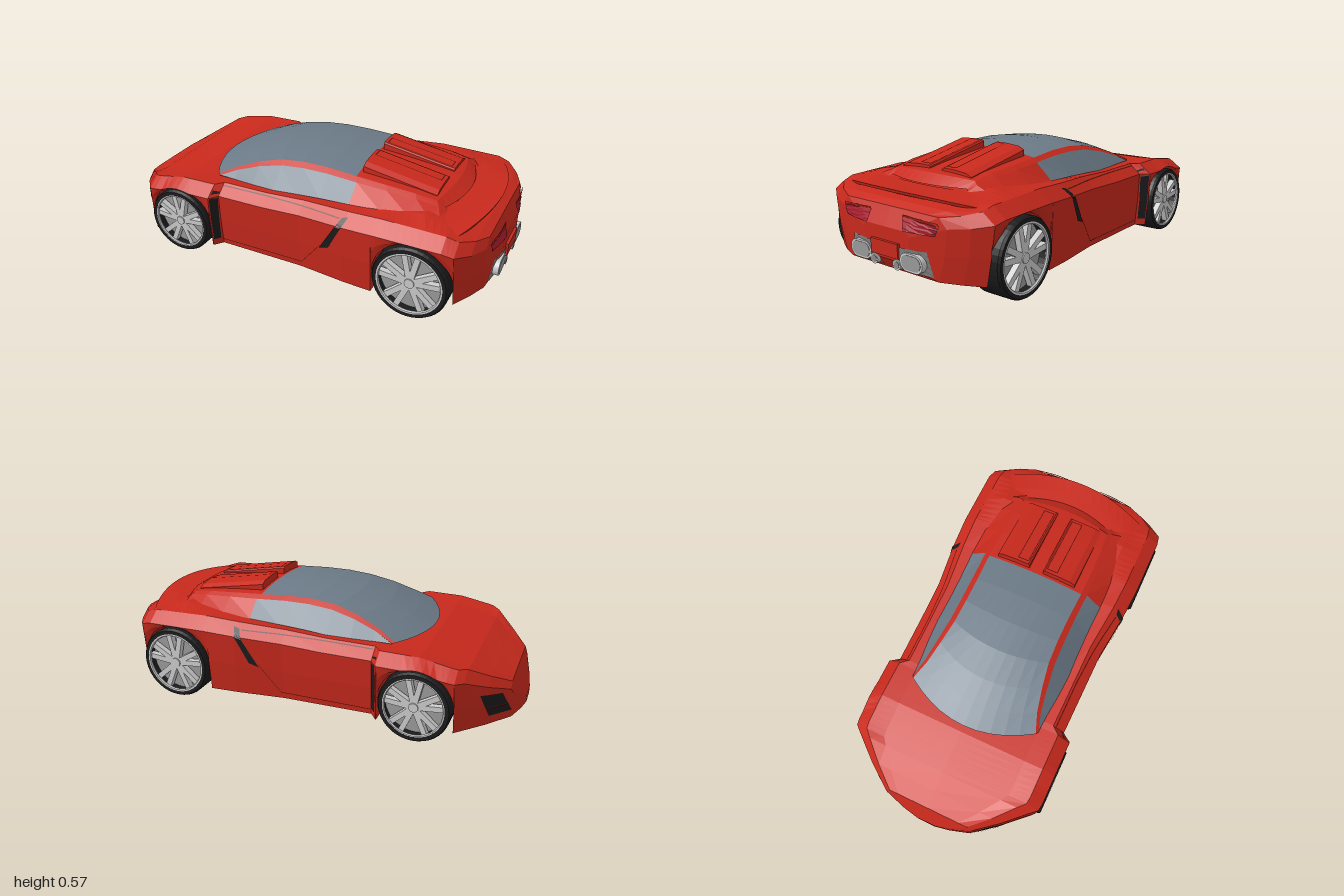
import * as THREE from 'three';

const RED = 0xc8291c, GLASS = 0x6b7a87, BLACK = 0x1b1b1d, SEAM = 0x5a120c, CHROME = 0xbcbcbc;
const V = (x, y, z) => new THREE.Vector3(x, y, z);
const mat = color => new THREE.MeshStandardMaterial({ color, flatShading: true, side: THREE.DoubleSide });
const { lerp, smoothstep } = THREE.MathUtils;

function add(parent, name, geo, color) {
  const m = new THREE.Mesh(geo, mat(color));
  m.name = name;
  parent.add(m);
}

// Skin through rows of points
function loft(rows) {
  const pos = [];
  const tri = (a, b, c) => {
    if (b.clone().sub(a).cross(c.clone().sub(a)).length() > 1e-9) [a, b, c].forEach(p => pos.push(p.x, p.y, p.z));
  };
  for (let i = 0; i < rows.length - 1; i++) for (let j = 0; j < rows[i].length - 1; j++) {
    const a = rows[i][j], b = rows[i + 1][j], c = rows[i][j + 1], d = rows[i + 1][j + 1];
    tri(a, b, c);
    tri(b, d, c);
  }
  const g = new THREE.BufferGeometry();
  g.setAttribute('position', new THREE.Float32BufferAttribute(pos, 3));
  g.computeVertexNormals();
  return g;
}
// Close both ends of a ring loft
function capped(rows) {
  const cap = r => {
    const c = r.reduce((s, p) => s.add(p), V(0, 0, 0)).divideScalar(r.length);
    return r.map(() => c);
  };
  return loft([cap(rows[0]), ...rows, cap(rows[rows.length - 1])]);
}
const flip = pts => pts.map(p => V(p.x, p.y, -p.z)).reverse();

// Body outlines along x: half width, fender height, centre height, floor height
const TAIL = .987;
const WIDTH = [[-1, .05], [-.985, .13], [-.955, .23], [-.86, .355], [-.735, .495], [-.7, .5], [-.378, .5], [-.345, .455], [.1, .462],
  [.34, .49], [.5, .5], [.8, .5], [.855, .49], [.91, .415], [.95, .32], [TAIL, .14]];
const FENDER = [[-1, .11], [-.945, .24], [-.77, .35], [-.56, .388], [-.1, .395], [.5, .432], [.8, .425], [.95, .38], [TAIL, .3]];
const CENTRE = [[-1, .11], [-.945, .245], [-.77, .335], [-.56, .38], [.1, .395], [.67, .455], [.93, .395], [.965, .37], [TAIL, .3]];
const FLOOR = [[-1, .065], [.5, .065], [.88, .1], [.955, .105], [TAIL, .16]];
const WHEELS = [{ name: 'frontWheel', x: -.56, r: .169 }, { name: 'rearWheel', x: .67, r: .18 }];
const GAP = .008;

function at(line, x) {
  const i = Math.max(1, line.findIndex(p => p[0] >= x));
  const [a, b] = [line[i - 1], line[i]];
  return lerp(a[1], b[1], (x - a[0]) / (b[0] - a[0]));
}
// Half cross-section, from floor centre round the wheel well to deck centre
function section(x) {
  const w = at(WIDTH, x), yf = at(FENDER, x), yc = at(CENTRE, x), yb = at(FLOOR, x);
  const sill = w * lerp(.96, .84, smoothstep(x, .8, .97)), well = Math.min(.31, sill * .8);
  let ya = yb;
  for (const h of WHEELS) {
    const d = Math.abs(x - h.x), R = h.r + GAP;
    if (d <= R + 1e-6) ya = h.r + Math.sqrt(Math.max(0, R * R - d * d));
  }
  const shoulder = Math.max(ya + .004, lerp(yb, yf, .85));
  return [V(x, yb, 0), V(x, yb, well), V(x, ya, well), V(x, ya, sill), V(x, lerp(ya, shoulder, .5), lerp(sill, w, .7)),
    V(x, shoulder, w), V(x, yf, w * .87), V(x, lerp(yf, yc, .85), w * .68), V(x, yc, 0)];
}
// Half width of the body at x, y
function sideZ(x, y) {
  const s = section(x);
  for (let i = 3; i < 8; i++) {
    if (y >= s[i].y && y <= s[i + 1].y) return lerp(s[i].z, s[i + 1].z, (y - s[i].y) / (s[i + 1].y - s[i].y || 1));
  }
  return y < s[3].y ? s[3].z : -1;
}
// Rearmost body x at y, z
function tailX(y, z) {
  for (let x = TAIL; x > .8; x -= .003) if (y >= section(x)[0].y && sideZ(x, y) >= z) return x;
  return .9;
}
// Four-cornered patch laid on a surface
function patch(c, place, n = 8) {
  const steps = Array.from({ length: n + 1 }, (_, i) => i / n);
  return loft(steps.map(u => steps.map(v =>
    place(...[0, 1].map(k => lerp(lerp(c[0][k], c[1][k], u), lerp(c[3][k], c[2][k], u), v))))));
}

function addWheel(car, { name, x, r }, side) {
  const g = new THREE.Group();
  g.name = name;
  const prof = [[.85, -.08], [.96, -.08], [1, -.068], [1, .068], [.96, .08], [.85, .08], [.85, -.08]];
  add(g, 'tire', new THREE.LatheGeometry(prof.map(p => new THREE.Vector2(p[0] * r, p[1])), 40).rotateX(Math.PI / 2), BLACK);
  add(g, 'rimDish', new THREE.CylinderGeometry(r * .86, r * .86, .1, 40).rotateX(Math.PI / 2).translate(0, 0, -.02), 0x9a9a9a);
  add(g, 'rimLip', new THREE.TorusGeometry(r * .84, r * .045, 6, 40).translate(0, 0, .073), CHROME);
  add(g, 'hub', new THREE.CylinderGeometry(r * .13, r * .17, .05, 16).rotateX(Math.PI / 2).translate(0, 0, .05), CHROME);
  for (let i = 0; i < 10; i++) {
    const a = Math.floor(i / 2) * Math.PI * .4 + (i % 2 ? .22 : -.22) + Math.PI / 2;
    add(g, 'spoke', new THREE.BoxGeometry(r * .76, r * .15, .03).translate(r * .46, 0, .055).rotateZ(a), CHROME);
  }
  g.position.set(x, r, side * .425);
  if (side < 0) g.rotation.y = Math.PI;
  car.add(g);
}

// Roof stations: centre x, y, then roof edge x, y, z
const CABIN = [[-.53, .39, -.42, .395, .335], [-.42, .44, -.33, .438, .3], [-.3, .487, -.22, .48, .275],
  [-.15, .528, -.1, .51, .255], [0, .543, .02, .522, .25], [.15, .545, .15, .522, .25], [.3, .532, .3, .512, .255]];
const COVER = [CABIN[6], [.45, .518, .45, .502, .255], [.6, .502, .59, .49, .25], [.72, .484, .69, .474, .24], [.78, .447, .73, .445, .23]];

const roofRow = ([xc, yc, xe, ye, ze]) => Array.from({ length: 11 }, (_, i) => {
  const t = 1 - i / 5;
  return V(lerp(xc, xe, t * t), lerp(yc, ye, t * t), ze * t);
});
const railPoint = ([, , x, y, z]) => V(x + .014, lerp(y, .38, .13), z + .006 + (y - .385) * .17);
const railRow = c => [railPoint(c), V(c[2], c[3], c[4])];
const flankRow = c => [V(c[2] + .012, at(FENDER, c[2]), Math.min(.342 + .022 * smoothstep(c[2], -.42, -.1), c[4] + .11)), railPoint(c)];

export function createModel() {
  const car = new THREE.Group();
  car.name = 'sportsCar';

  // Body shell with wheel wells
  const xs = [...WIDTH, ...FENDER].map(p => p[0]);
  for (const h of WHEELS) {
    const R = h.r + GAP;
    for (let i = 0; i <= 16; i++) xs.push(h.x - R * Math.cos(i * Math.PI / 16));
    xs.push(h.x - R - .001, h.x + R + .001);
  }
  xs.sort((a, b) => a - b);
  add(car, 'body', capped(xs.map(x => [...section(x), ...flip(section(x))])), RED);

  // Cabin glass and engine cover
  add(car, 'windscreenAndRoof', loft(CABIN.map(roofRow)), GLASS);
  add(car, 'engineCover', loft(COVER.map(roofRow)), RED);

  for (const side of [1, -1]) {
    const mirror = pts => (side > 0 ? pts : flip(pts));
    const strip = (name, rows, f, color) => add(car, name, loft(rows.map(c => mirror(f(c)))), color);
    strip('roofRail', CABIN, railRow, RED);
    strip('sideWindow', CABIN, flankRow, GLASS);
    strip('coverShoulder', COVER, railRow, RED);
    strip('coverFlank', COVER, flankRow, RED);

    // Raised scoop beside the centre line
    const scoopY = x => lerp(.566, .502, (x - .315) / .365);
    const scoop = [.315, .44, .565, .68].map(x => {
      const y = scoopY(x);
      return mirror([V(x, .46, .21), V(x, y - .02, .21), V(x, y - .006, .18), V(x, y, .11), V(x, y, .045), V(x, y - .006, .037), V(x, .46, .037)]);
    });
    add(car, 'engineScoop', capped(scoop), RED);
    for (const [x0, z0, x1, z1] of [[.33, .05, .665, .054], [.33, .104, .665, .108], [.33, .05, .335, .108], [.66, .05, .665, .108]]) {
      add(car, 'scoopSeam', patch([[x0, z0], [x1, z0], [x1, z1], [x0, z1]], (x, z) => V(x, scoopY(x) + .002, side * z), 1), SEAM);
    }

    // Openings and seams on the flanks
    const onSide = off => (x, y) => V(x, y, side * (sideZ(x, y) + off));
    add(car, 'noseIntake', patch([[-.955, .105], [-.87, .11], [-.832, .228], [-.915, .21]], onSide(.005), 10), BLACK);
    add(car, 'intakeFin', patch([[-.94, .145], [-.86, .15], [-.858, .158], [-.937, .153]], onSide(.012)), SEAM);
    add(car, 'fenderVent', patch([[-.373, .1], [-.35, .1], [-.346, .36], [-.373, .37]], onSide(.004)), BLACK);
    add(car, 'sideIntake', patch([[.215, .222], [.265, .24], [.352, .408], [.322, .4]], onSide(.005)), BLACK);
    for (const [x0, y0, x1, y1] of [[-.34, .09, .11, .095], [.11, .095, .22, .235], [-.34, .38, .31, .393]]) {
      add(car, 'doorSeam', patch([[x0, y0], [x1, y1], [x1, y1 + .004], [x0, y0 + .004]], onSide(.003)), SEAM);
    }

    // Tail lights and exhaust
    const onTail = off => (z, y) => V(tailX(y, z) + off, y, side * z);
    add(car, 'tailLight', patch([[.11, .302], [.27, .302], [.29, .345], [.095, .36]], onTail(.008)), 0xa81c2e);
    add(car, 'tailLightBrow', patch([[.095, .36], [.29, .345], [.285, .358], [.1, .368]], onTail(.012)), RED);
    add(car, 'exhaustPanel', patch([[.035, .122], [.25, .122], [.225, .228], [.08, .228]], onTail(.004)), 0x7c7c7c);
    const pipe = (name, w, h, x, y, z, color) => {
      const slot = new THREE.Shape().absarc(w, 0, h, -Math.PI / 2, Math.PI / 2).absarc(-w, 0, h, Math.PI / 2, Math.PI * 1.5);
      const geo = new THREE.ExtrudeGeometry(slot, { depth: .07, bevelEnabled: false, curveSegments: 12 });
      add(car, name, geo.rotateY(Math.PI / 2).translate(x, y, side * z), color);
    };
    pipe('exhaustRim', .026, .04, .925, .173, .155, CHROME);
    pipe('exhaustMouth', .024, .032, .927, .173, .155, 0x9a9a9a);
    pipe('smallPipe', .0005, .023, .927, .148, .07, CHROME);
    pipe('smallPipeMouth', .0005, .016, .929, .148, .07, 0x8a8a8a);
    WHEELS.forEach(w => addWheel(car, w, side));
  }
  add(car, 'plateHolder', new THREE.BoxGeometry(.06, .065, .165).translate(.97, .208, 0), RED);

  // Ducktail spoiler sweeping across the rear
  const wing = Array.from({ length: 17 }, (_, i) => {
    const t = i / 8 - 1, q = t * t, z = t * .41, d = -.035 * q;
    const front = V(.77 - .12 * q, .44 + d * .3, z);
    return [front, V(.84 - .13 * q, .442 + d * .4, z), V(.93 - .1 * q, .446 + d, z),
      V(.925 - .1 * q, .432 + d, z), V(.86 - .1 * q, .405 + d * .5, z), front];
  });
  add(car, 'spoiler', capped(wing), RED);

  return car;
}
